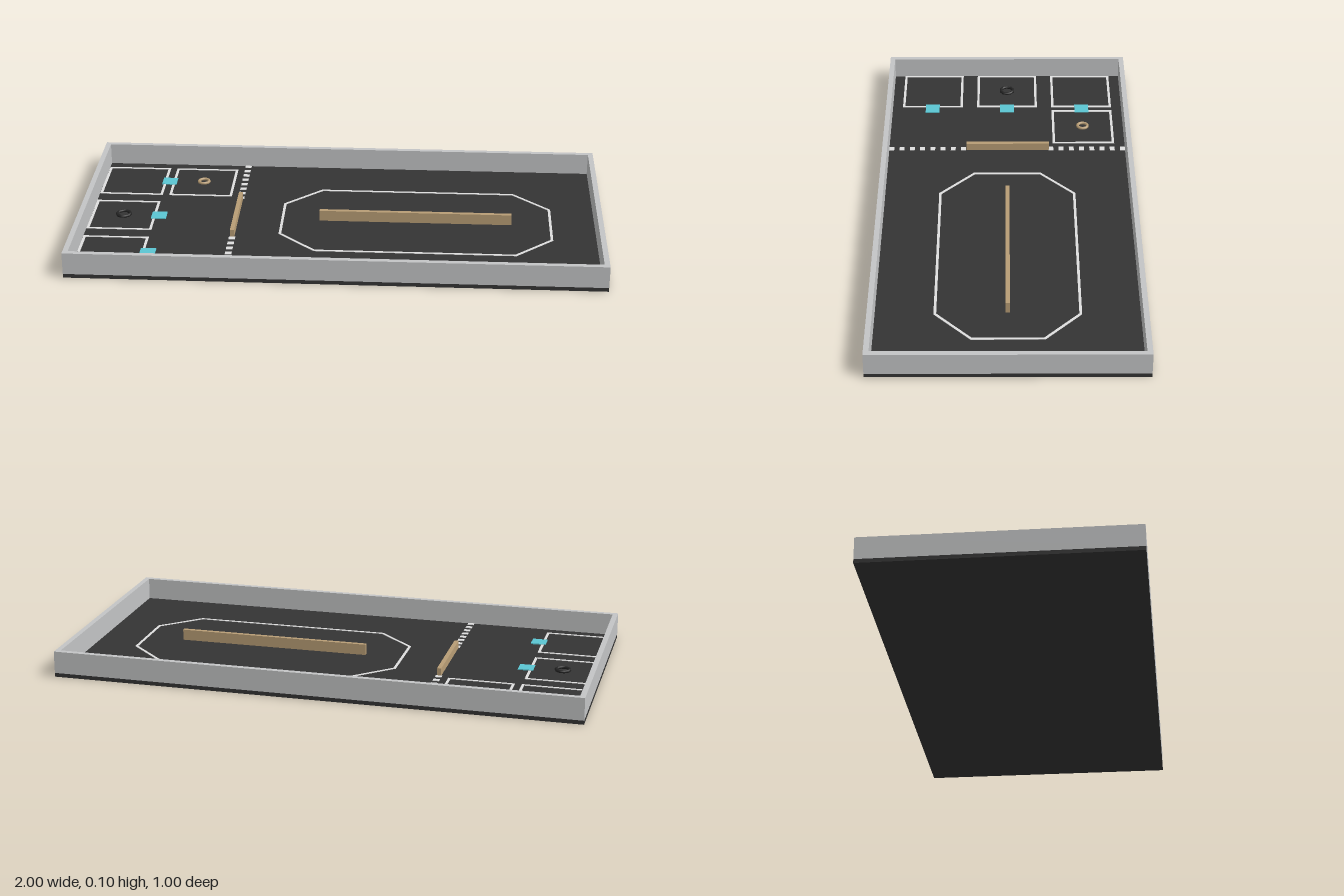
import * as THREE from 'three';

const material = (name, color) => new THREE.MeshStandardMaterial({ name, color });

export function createModel() {
  const floorGrey = material('floor charcoal', 0x343434);
  const wallGrey = material('wall light grey', 0xc3c4c5);
  const lineWhite = material('line white', 0xdedede);
  const cyan = material('marker cyan', 0x5bc6d2);
  const tan = material('wood tan', 0xb89d75);
  const black = material('ring black', 0x242424);

  const model = new THREE.Group();
  model.name = 'walledArena';
  const FLOOR = 0.015, LINE = 0.01, PAINT = 0.002;

  const add = (name, geometry, mat, x, y, z, parent = model) => {
    const mesh = new THREE.Mesh(geometry, mat);
    mesh.name = name;
    mesh.position.set(x, y, z);
    parent.add(mesh);
    return mesh;
  };
  // Box resting on the floor
  const block = (name, w, h, d, mat, x, z, parent) =>
    add(name, new THREE.BoxGeometry(w, h, d), mat, x, FLOOR + h / 2, z, parent);

  // Flat frame: outline with a hole, extruded upward from the floor
  const frame = (name, outer, inner, height, mat, x, z) => {
    const shape = new THREE.Shape(outer);
    shape.holes.push(new THREE.Path(inner));
    const geometry = new THREE.ExtrudeGeometry(shape, { depth: height, bevelEnabled: false });
    geometry.rotateX(-Math.PI / 2);
    return add(name, geometry, mat, x, FLOOR, z);
  };
  const rectangle = (w, d) => [[-1, -1], [1, -1], [1, 1], [-1, 1]]
    .map(([sx, sz]) => new THREE.Vector2(sx * w / 2, sz * d / 2));
  // Rectangle with cut corners
  const octagon = (hx, hz, cx, cz) => [
    [-cx, -hz], [cx, -hz], [hx, -cz], [hx, cz], [cx, hz], [-cx, hz], [-hx, cz], [-hx, -cz],
  ].map(([x, z]) => new THREE.Vector2(x, z));

  // Floor slab and surrounding wall
  add('floor', new THREE.BoxGeometry(2, FLOOR, 1), floorGrey, 0, FLOOR / 2, 0);
  frame('wall', rectangle(2, 1), rectangle(1.96, 0.96), 0.1 - FLOOR, wallGrey, 0, 0);

  // Painted square bays
  const bays = [[-0.853, -0.3125], [-0.853, 0], [-0.853, 0.3125], [-0.575, -0.3125]];
  for (const [x, z] of bays) {
    frame('bayOutline', rectangle(0.252, 0.252), rectangle(0.252 - 2 * LINE, 0.252 - 2 * LINE),
      PAINT, lineWhite, x, z);
  }

  // Cyan markers at the bay entrances
  for (const z of [-0.3125, 0, 0.3125]) {
    block('bayMarker', 0.058, 0.004, 0.058, cyan, -0.714, z);
  }

  // Dashed dividing line on both sides of the low barrier
  const dashes = new THREE.Group();
  dashes.name = 'dashedLine';
  model.add(dashes);
  for (const side of [-1, 1]) {
    for (let i = 0; i < 8; i++) {
      block('dash', 0.025, PAINT, 0.02, lineWhite, -0.41, side * (0.178 + i * 0.0417), dashes);
    }
  }
  block('lowBarrier', 0.016, 0.03, 0.336, tan, -0.41, -0.002);

  // Painted track loop around the long barrier
  frame('trackLine', octagon(0.525, 0.268, 0.382, 0.133),
    octagon(0.515, 0.258, 0.378, 0.129), PAINT, lineWhite, 0.29, 0);
  block('longBarrier', 0.744, 0.042, 0.016, tan, 0.287, 0);

  // Small rings lying in two bays
  const ring = (name, radius, tube, mat, x, z) => {
    const geometry = new THREE.TorusGeometry(radius, tube, 8, 10);
    geometry.rotateX(-Math.PI / 2);
    add(name, geometry, mat, x, FLOOR + tube, z);
  };
  ring('woodRing', 0.021, 0.006, tan, -0.575, -0.3125);
  ring('blackRing', 0.026, 0.006, black, -0.853, 0);

  return model;
}
